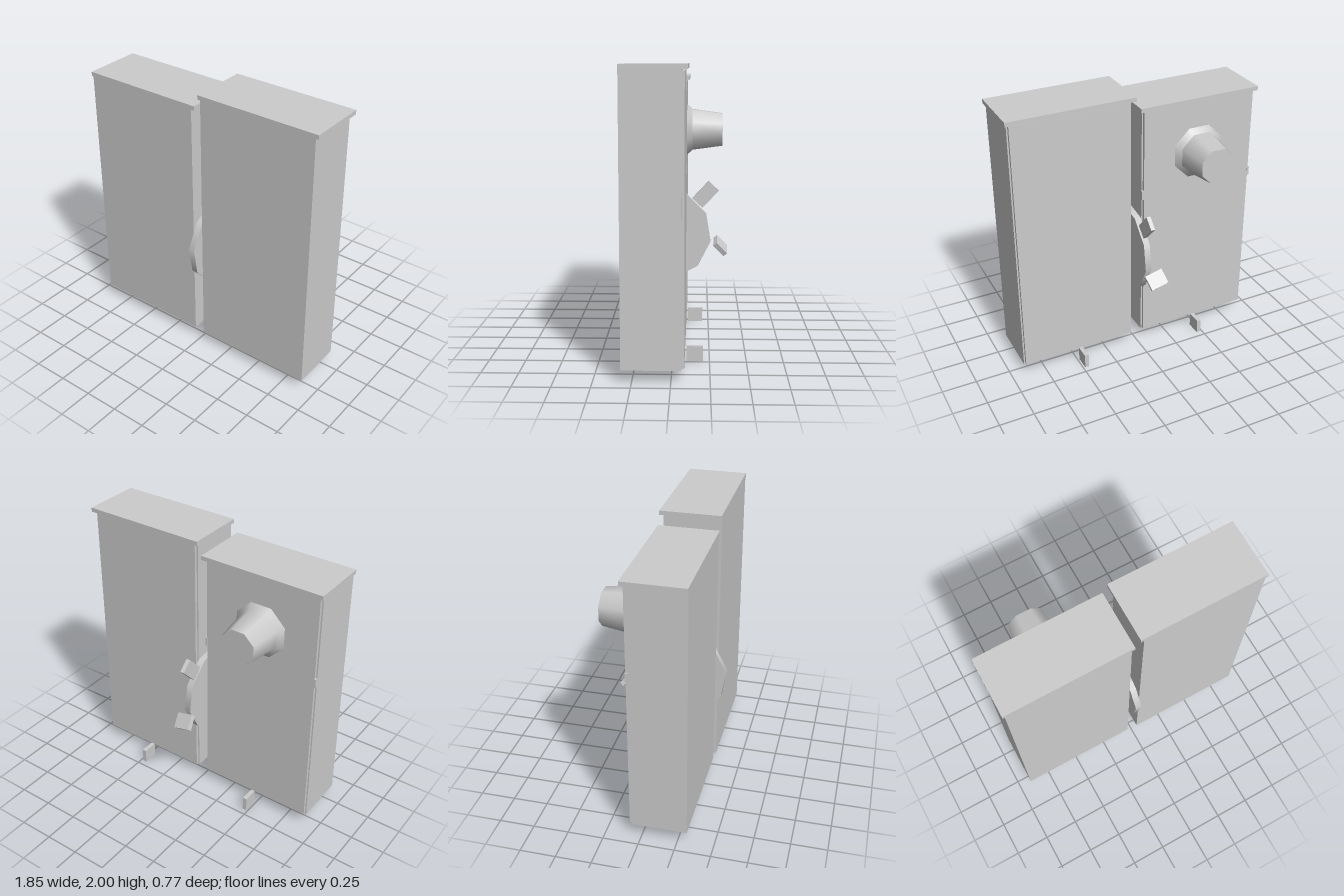
import * as THREE from 'three';

const material = new THREE.MeshStandardMaterial({ color: 0xcccccc });

function add(parent, name, geometry, x = 0, y = 0, z = 0) {
  const mesh = new THREE.Mesh(geometry, material);
  mesh.name = name;
  mesh.position.set(x, y, z);
  parent.add(mesh);
  return mesh;
}

// Box given by its lowest and highest corners
function addBox(parent, name, [x0, y0, z0], [x1, y1, z1]) {
  return add(parent, name, new THREE.BoxGeometry(x1 - x0, y1 - y0, z1 - z0),
    (x0 + x1) / 2, (y0 + y1) / 2, (z0 + z1) / 2);
}

// Eight-sided tapered ring pointing to the back, from zNear to zFar
function addTaper(parent, name, rNear, rFar, zNear, zFar) {
  const flat = Math.cos(Math.PI / 8);
  const geometry = new THREE.CylinderGeometry(rFar / flat, rNear / flat, zNear - zFar, 8, 1, false, Math.PI / 8);
  geometry.rotateX(-Math.PI / 2);
  return add(parent, name, geometry, -0.475, 1.5, (zNear + zFar) / 2);
}

// Cabinet body, back door, overhanging lid and lower catch
function createCabinet(name, x0, x1, bottom, top, lid0, lid1, front, catchX) {
  const cabinet = new THREE.Group();
  cabinet.name = name;
  addBox(cabinet, 'body', [x0, bottom, -0.065], [x1, top - 0.03, front]);
  addBox(cabinet, 'door', [x0 + 0.01, bottom + 0.01, -0.085], [x1 - 0.01, top - 0.04, -0.065]);
  addBox(cabinet, 'lid', [lid0, top - 0.03, -0.105], [lid1, top, front]);
  addBox(cabinet, 'lowerCatch', [catchX - 0.015, 0, -0.205], [catchX + 0.015, 0.105, -0.095]);
  return cabinet;
}

export function createModel() {
  const model = new THREE.Group();
  model.name = 'twinCabinets';

  const tall = createCabinet('tallCabinet', 0.04, 0.905, 0.08, 2, 0.018, 0.925, 0.32, 0.47);
  const short = createCabinet('shortCabinet', -0.91, -0.04, 0.085, 1.91, -0.925, -0.016, 0.315, -0.472);
  model.add(tall, short);

  // Small hinge tabs on the short cabinet's door edges
  for (const x of [-0.903, -0.043]) {
    addBox(short, 'hingeTab', [x - 0.008, 1.215, -0.087], [x + 0.008, 1.28, -0.066]);
  }

  // Tapered spout with its flange
  addTaper(short, 'spoutFlange', 0.185, 0.15, -0.085, -0.125);
  addTaper(short, 'spout', 0.15, 0.12, -0.125, -0.35);

  // Ten-sided wheel between the cabinets
  const wheel = new THREE.CylinderGeometry(0.328, 0.328, 0.045, 10, 1, false, Math.PI / 20);
  wheel.rotateZ(Math.PI / 2);
  add(model, 'wheel', wheel, -0.002, 0.785, 0.065);

  // Upper lever, pointing out from the wheel
  const lever = add(model, 'upperLever', new THREE.BoxGeometry(0.03, 0.1, 0.17), -0.004, 1.073, -0.222);
  lever.rotation.x = 0.82;

  // Tilted lower paddle
  const along = new THREE.Vector3(0.02, 0.08, 0.075).normalize();
  const normal = along.clone().cross(new THREE.Vector3(0.125, -0.03, 0.01)).normalize();
  const across = normal.clone().cross(along);
  const paddle = add(model, 'lowerPaddle', new THREE.BoxGeometry(0.13, 0.035, 0.11), -0.0275, 0.695, -0.33);
  paddle.quaternion.setFromRotationMatrix(new THREE.Matrix4().makeBasis(across, normal, along));

  return model;
}
